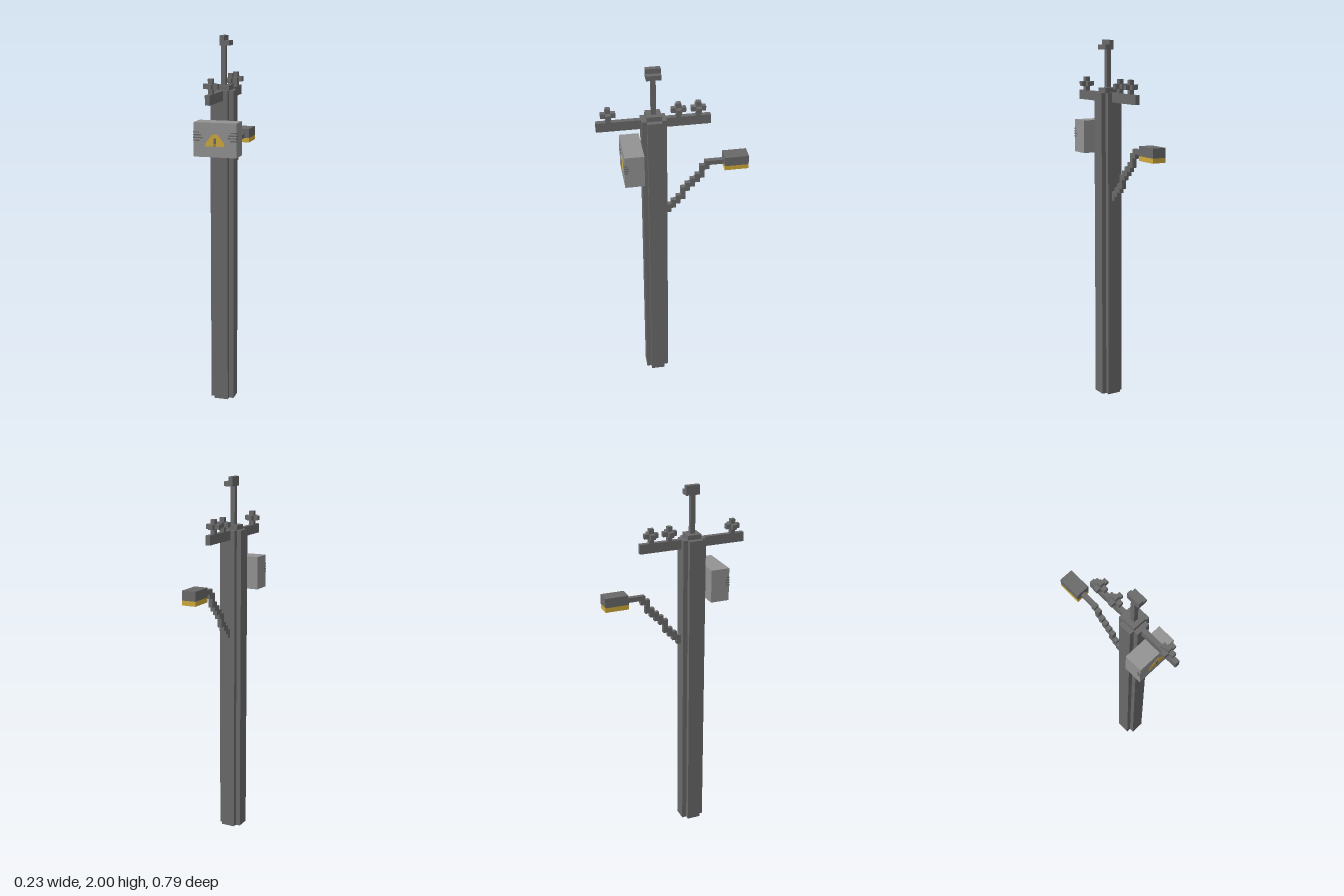
import * as THREE from 'three';

const U = 2 / 78; // one block

const mat = (name, color) => {
  const m = new THREE.MeshStandardMaterial({ color });
  m.name = name;
  return m;
};

export function createModel() {
  const model = new THREE.Group();
  model.name = 'utilityPole';
  const steel = mat('dark grey', 0x696969);
  const casing = mat('light grey', 0x929292);
  const yellow = mat('yellow', 0xd0aa3c);

  // Box given by its limits in blocks
  const block = (name, material, [x0, x1], [y0, y1], [z0, z1], parent = model) => {
    const mesh = new THREE.Mesh(
      new THREE.BoxGeometry((x1 - x0) * U, (y1 - y0) * U, (z1 - z0) * U), material);
    mesh.position.set((x0 + x1) / 2 * U, (y0 + y1) / 2 * U, (z0 + z1) / 2 * U);
    mesh.name = name;
    parent.add(mesh);
    return mesh;
  };
  const group = (name) => {
    const g = new THREE.Group();
    g.name = name;
    model.add(g);
    return g;
  };
  const thin = [-0.5, 0.5], wide = [-1.5, 1.5];

  // Pole: square section with notched corners
  const a = 1.5 * U, b = 2.5 * U;
  const section = new THREE.Shape([
    [b, -a], [b, a], [a, a], [a, b], [-a, b], [-a, a],
    [-b, a], [-b, -a], [-a, -a], [-a, -b], [a, -b], [a, -a],
  ].map(([x, y]) => new THREE.Vector2(x, y)));
  const pole = new THREE.Mesh(
    new THREE.ExtrudeGeometry(section, { depth: 67 * U, bevelEnabled: false }).rotateX(-Math.PI / 2), steel);
  pole.position.z = 4 * U;
  pole.name = 'pole';
  model.add(pole);

  // Cap, mast and mast head
  block('poleCap', steel, wide, [67, 68], [2.5, 5.5]);
  block('mast', steel, thin, [68, 76], [3.5, 4.5]);
  block('mastHead', steel, thin, [76, 78], [2.5, 5.5]);
  block('mastHeadLip', steel, [0.5, 1.5], [76, 77], [2.5, 5.5]);

  // Crossarm halves
  block('crossarmFront', steel, thin, [65, 67], [6.5, 15.5]);
  block('crossarmBack', steel, thin, [65, 67], [-7.5, 1.5]);

  // Insulators: stem with a plus-shaped disc
  for (const z of [13, -1, -5]) {
    const g = group('insulator');
    block('insulatorStem', steel, thin, [67, 70], [z - 0.5, z + 0.5], g);
    for (const s of [-1, 1]) {
      block('insulatorSide', steel, s < 0 ? [-1.5, -0.5] : [0.5, 1.5], [68, 69], [z - 0.5, z + 0.5], g);
      block('insulatorEnd', steel, thin, [68, 69], s < 0 ? [z - 1.5, z - 0.5] : [z + 0.5, z + 1.5], g);
    }
  }

  // Control box with vent slits wrapped round its front corners
  const box = group('controlBox');
  block('boxBody', casing, [-4.5, 4.5], [54, 61], [6.5, 10.5], box);
  const e = 0.06;
  for (const s of [-1, 1]) {
    [1.2, 1.7, 1.9, 1.3].forEach((len, i) => {
      const y = [58.9 - i * 0.55, 59.15 - i * 0.55];
      const x = [4.5 - len, 4.5 + e].map((v) => v * s).sort((p, q) => p - q);
      block('ventSlit', steel, x, y, [10.5, 10.5 + e], box);
      const side = [4.5, 4.5 + e].map((v) => v * s).sort((p, q) => p - q);
      block('ventSlitSide', steel, side, y, [10.5 - len * 0.45, 10.5], box);
    });
  }

  // Warning triangle with a dark mark
  const triangle = new THREE.Shape([
    [-2.1, 56.2], [2.1, 56.2], [1.9, 56.9], [0.5, 58.7], [-0.5, 58.7], [-1.9, 56.9],
  ].map(([x, y]) => new THREE.Vector2(x * U, y * U)));
  const sign = new THREE.Mesh(
    new THREE.ExtrudeGeometry(triangle, { depth: e * U, bevelEnabled: false }), yellow);
  sign.position.z = 10.5 * U;
  sign.name = 'warningTriangle';
  box.add(sign);
  block('warningMark', steel, [-0.25, 0.25], [56.7, 57.9], [10.5, 10.5 + 2 * e], box);
  block('warningDot', steel, [-0.25, 0.25], [56.25, 56.5], [10.5, 10.5 + 2 * e], box);

  // Stepped lamp arm, one column per block of reach
  const arm = group('lampArm');
  [[44, 46], [45, 47], [46, 48], [47, 50], [49, 51], [50, 52], [51, 53], [52, 55], [54, 56]]
    .forEach((y, i) => block('armStep', steel, thin, y, [0.5 - i, 1.5 - i], arm));
  block('armEnd', steel, thin, [55, 56], [-10.5, -7.5], arm);

  // Lamp head with glowing underside
  block('lampHousing', steel, wide, [55, 57], [-15.5, -10.5]);
  block('lampGlass', yellow, wide, [54, 55], [-15.5, -10.5]);

  return model;
}
